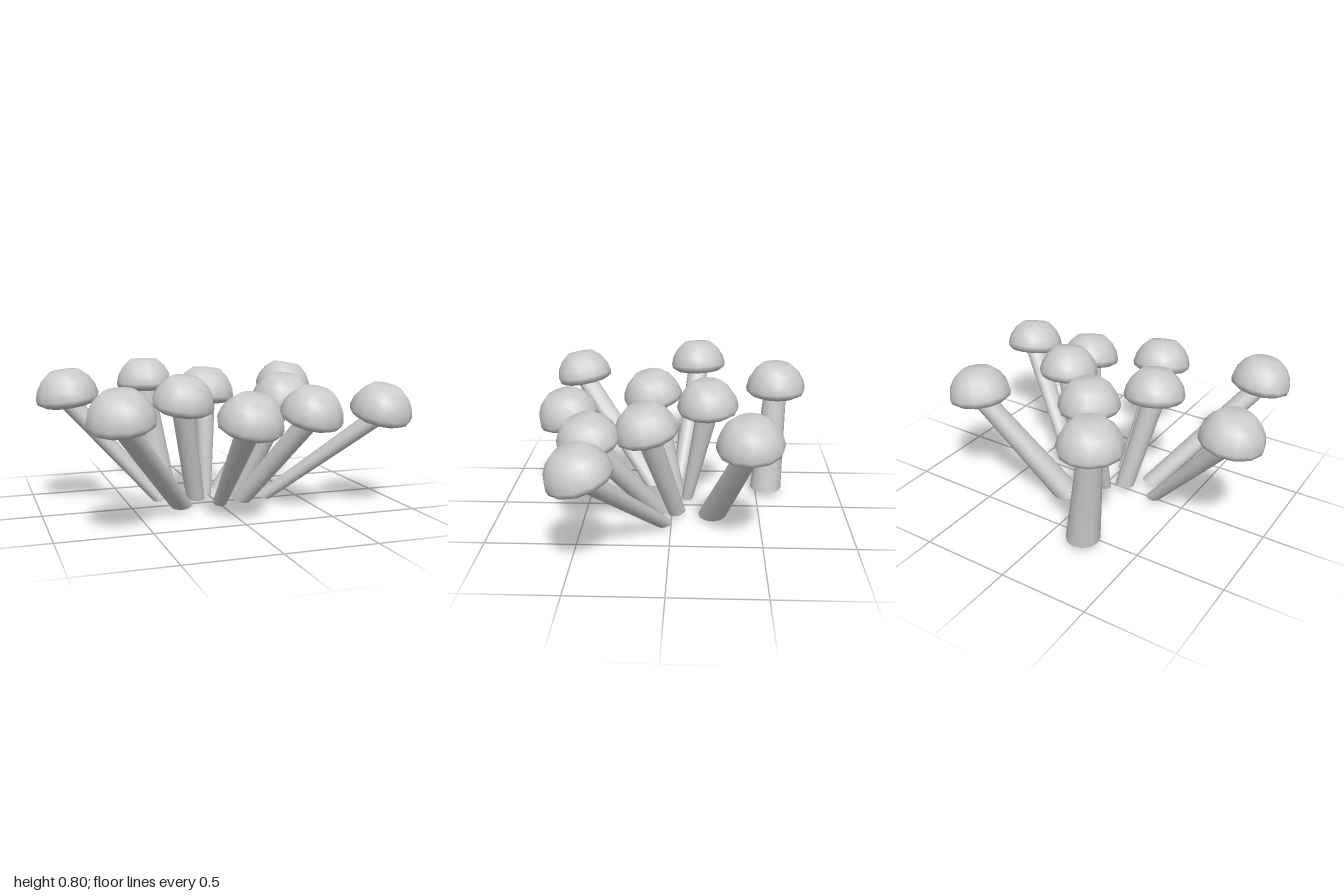
import * as THREE from 'three';

const SIDES = 12;
const UP = new THREE.Vector3(0, 1, 0);

// cap centre, stem foot centre, foot radius, lean of the cap (x and z slope)
const MUSHROOMS = [
  { cap: [-0.28, 0.63, -0.60], foot: [-0.20, 0.04, -0.56], r: 0.093, lean: [0, 0] },
  { cap: [0.58, 0.60, -0.41], foot: [0.125, 0.018, -0.235], r: 0.083, lean: [0.15, 0.05] },
  { cap: [-0.01, 0.60, -0.20], foot: [-0.04, 0.035, -0.085], r: 0.033, lean: [0.08, 0.05] },
  { cap: [-0.82, 0.615, -0.14], foot: [-0.33, 0.038, -0.03], r: 0.04, lean: [-0.12, 0.05] },
  { cap: [-0.235, 0.585, 0.12], foot: [-0.125, 0.038, -0.01], r: 0.055, lean: [0.08, 0.2] },
  { cap: [0.35, 0.58, 0.12], foot: [0.14, 0.03, -0.03], r: 0.05, lean: [0.06, 0.2] },
  { cap: [0.395, 0.535, 0.42], foot: [0.13, 0.03, 0.07], r: 0.055, lean: [0.12, 0.28] },
  { cap: [0.82, 0.535, 0.41], foot: [0.285, 0.03, 0.035], r: 0.045, lean: [0.1, 0.28] },
  { cap: [-0.67, 0.58, 0.59], foot: [-0.245, 0.035, 0.12], r: 0.062, lean: [-0.1, 0.18] },
  { cap: [-0.02, 0.535, 0.59], foot: [-0.03, 0.035, 0.145], r: 0.038, lean: [0.08, 0.28] },
];

// Rounded cap with a small flat crown and a shallow, soft underside
function capGeometry() {
  const profile = [
    [0, -0.005], [0.065, -0.015], [0.14, -0.018], [0.168, 0], [0.174, 0.025],
    [0.162, 0.075], [0.132, 0.125], [0.085, 0.167], [0, 0.172],
  ].map(([x, y]) => new THREE.Vector2(x, y));
  return new THREE.LatheGeometry(profile, SIDES);
}

// Tapered stem whose foot slides sideways while both ends stay level
function stemGeometry(foot, footRadius) {
  const height = -foot.y;
  const geometry = new THREE.CylinderGeometry(0.065, footRadius, height, SIDES, 4);
  geometry.translate(0, -height / 2, 0);
  const sx = foot.x / foot.y;
  const sz = foot.z / foot.y;
  geometry.applyMatrix4(new THREE.Matrix4().set(
    1, sx, 0, 0,
    0, 1, 0, 0,
    0, sz, 1, 0,
    0, 0, 0, 1,
  ));
  return geometry;
}

export function createModel() {
  const model = new THREE.Group();
  model.name = 'mushroomCluster';
  const material = new THREE.MeshStandardMaterial({ color: 0xcccccc });
  const capShape = capGeometry();

  MUSHROOMS.forEach(({ cap, foot, r, lean }, i) => {
    const mushroom = new THREE.Group();
    mushroom.name = `mushroom${i + 1}`;
    mushroom.position.set(...cap);
    const axis = new THREE.Vector3(lean[0], 1, lean[1]).normalize();
    mushroom.quaternion.setFromUnitVectors(UP, axis);

    const capMesh = new THREE.Mesh(capShape, material);
    capMesh.name = 'cap';

    // foot position in the leaning frame of the mushroom
    const localFoot = new THREE.Vector3(...foot)
      .sub(mushroom.position)
      .applyQuaternion(mushroom.quaternion.clone().invert());
    const stem = new THREE.Mesh(stemGeometry(localFoot, r), material);
    stem.name = 'stem';

    mushroom.add(capMesh, stem);
    model.add(mushroom);
  });
  return model;
}
